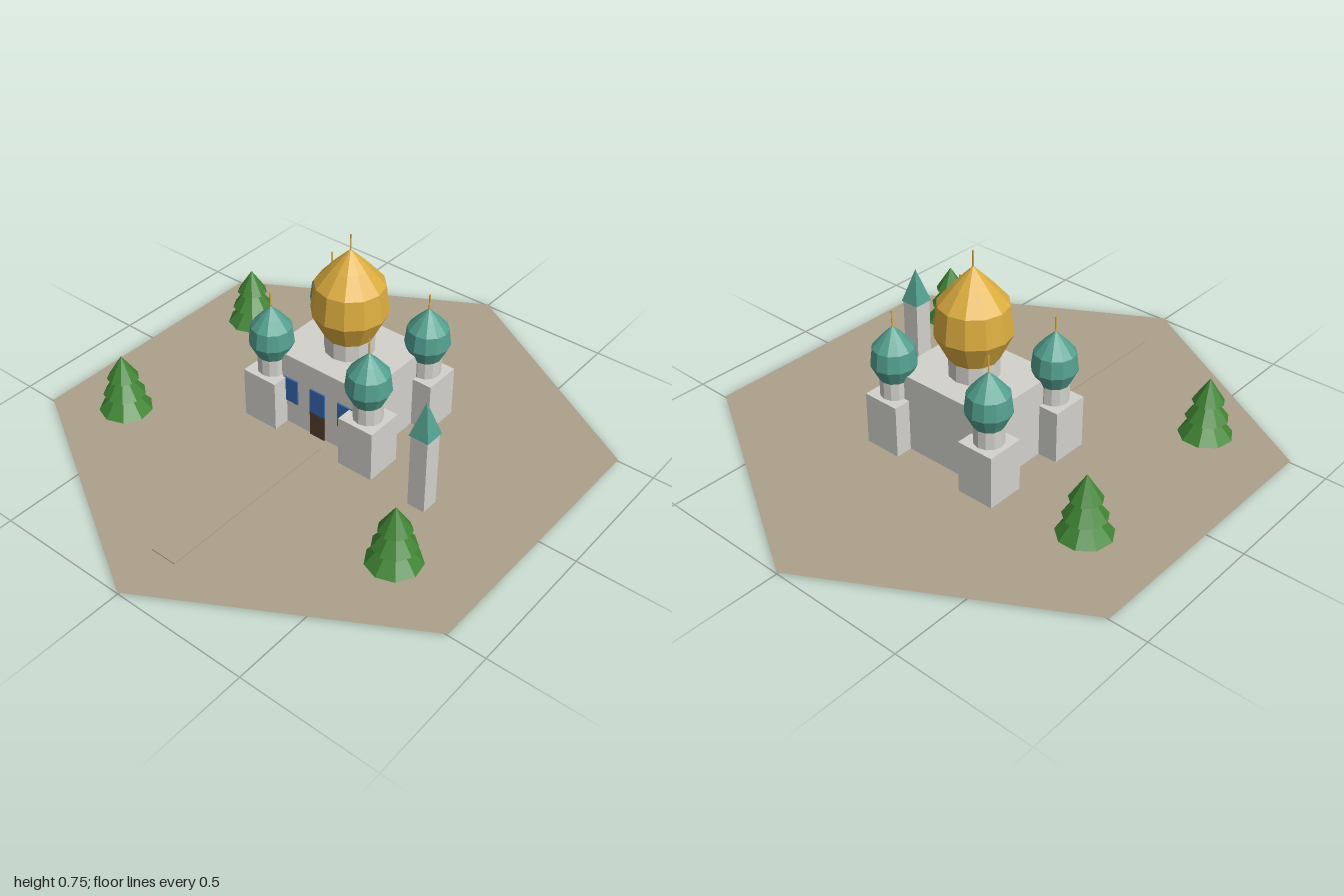
import * as THREE from 'three';

const mat = (name, color, extra = {}) => {
  const m = new THREE.MeshStandardMaterial({ color, flatShading: true, ...extra });
  m.name = name;
  return m;
};

const GROUND = 0.006; // height of the ground plane
const CZ = -0.117;    // centre of the building in z

export function createModel() {
  const earth = mat('earth', 0xaca18b, { side: THREE.DoubleSide });
  const stone = mat('stone', 0xd2d1cc);
  const gold = mat('gold', 0xdcad3f);
  const teal = mat('teal', 0x53a08f);
  const blue = mat('windowBlue', 0x3468ae);
  const wood = mat('wood', 0x553f30);
  const leaf = mat('leaf', 0x3f8433);

  const model = new THREE.Group();
  model.name = 'domedChapel';

  const add = (parent, name, geometry, material, x = 0, y = 0, z = 0) => {
    const mesh = new THREE.Mesh(geometry, material);
    mesh.name = name;
    mesh.position.set(x, y, z);
    parent.add(mesh);
    return mesh;
  };
  // Box and cylinder placed by the height of their base
  const box = (parent, name, material, w, h, d, x, y, z) =>
    add(parent, name, new THREE.BoxGeometry(w, h, d), material, x, y + h / 2, z);
  const cylinder = (parent, name, material, rTop, rBase, h, sides, x, y, z) =>
    add(parent, name, new THREE.CylinderGeometry(rTop, rBase, h, sides), material, x, y + h / 2, z);

  // Hexagonal ground and the path to the door
  const ground = add(model, 'ground', new THREE.CircleGeometry(1, 6, Math.PI / 2), earth, 0, GROUND, 0);
  ground.rotation.x = -Math.PI / 2;
  box(model, 'path', earth, 0.1, 0.01, 0.71, 0, 0, 0.452);

  // Drum, onion dome and finial; s scales the profile
  const domeProfile = [[0.088, 0], [0.135, 0.095], [0.122, 0.2], [0.066, 0.265], [0, 0.332]];
  const addDome = (name, material, s, x, y, z) => {
    const tower = new THREE.Group();
    tower.name = name;
    tower.position.set(x, y, z);
    model.add(tower);
    cylinder(tower, 'drum', stone, 0.088 * s, 0.088 * s, 0.066, 12, 0, 0, 0);
    const points = domeProfile.map(([r, h]) => new THREE.Vector2(r * s, h * s));
    add(tower, 'onionDome', new THREE.LatheGeometry(points, 12), material, 0, 0.064, 0);
    cylinder(tower, 'finial', gold, 0.003, 0.003, 0.075, 6, 0, 0.064 + 0.332 * s - 0.02, 0);
  };

  // Main hall with its large dome
  box(model, 'hall', stone, 0.41, 0.288, 0.34, 0, GROUND, CZ);
  addDome('mainDome', gold, 1, 0, 0.294, CZ);

  // Corner blocks with small domes
  for (const sx of [-1, 1]) {
    for (const sz of [-1, 1]) {
      const x = sx * 0.21, z = CZ + sz * 0.163;
      box(model, 'cornerBlock', stone, 0.14, 0.194, 0.14, x, GROUND, z);
      addDome('cornerDome', teal, 0.595, x, 0.2, z);
    }
  }

  // Door and windows on the front wall
  const front = CZ + 0.172;
  box(model, 'door', wood, 0.064, 0.098, 0.008, 0, GROUND, front);
  for (const x of [-0.12, 0, 0.12]) {
    box(model, 'window', blue, 0.064, 0.097, 0.008, x, 0.104, front);
  }

  // Free-standing bell tower
  box(model, 'bellTower', stone, 0.066, 0.29, 0.066, 0.475, GROUND, 0.096);
  const roof = add(model, 'bellTowerRoof', new THREE.ConeGeometry(0.053, 0.128, 4), teal, 0.475, 0.36, 0.096);
  roof.rotation.y = Math.PI / 4;

  // Fir trees: trunk and three stacked cones [radius, height, base]
  const tiers = [[0.095, 0.112, 0.05], [0.075, 0.1, 0.117], [0.056, 0.088, 0.182]];
  for (const [x, z] of [[-0.608, -0.288], [-0.592, 0.396], [0.588, 0.396]]) {
    const tree = new THREE.Group();
    tree.name = 'firTree';
    tree.position.set(x, 0, z);
    model.add(tree);
    cylinder(tree, 'trunk', wood, 0.019, 0.019, 0.06, 8, 0, GROUND, 0);
    for (const [r, h, base] of tiers) {
      add(tree, 'foliage', new THREE.ConeGeometry(r, h, 9), leaf, 0, base + h / 2, 0);
    }
  }

  return model;
}
